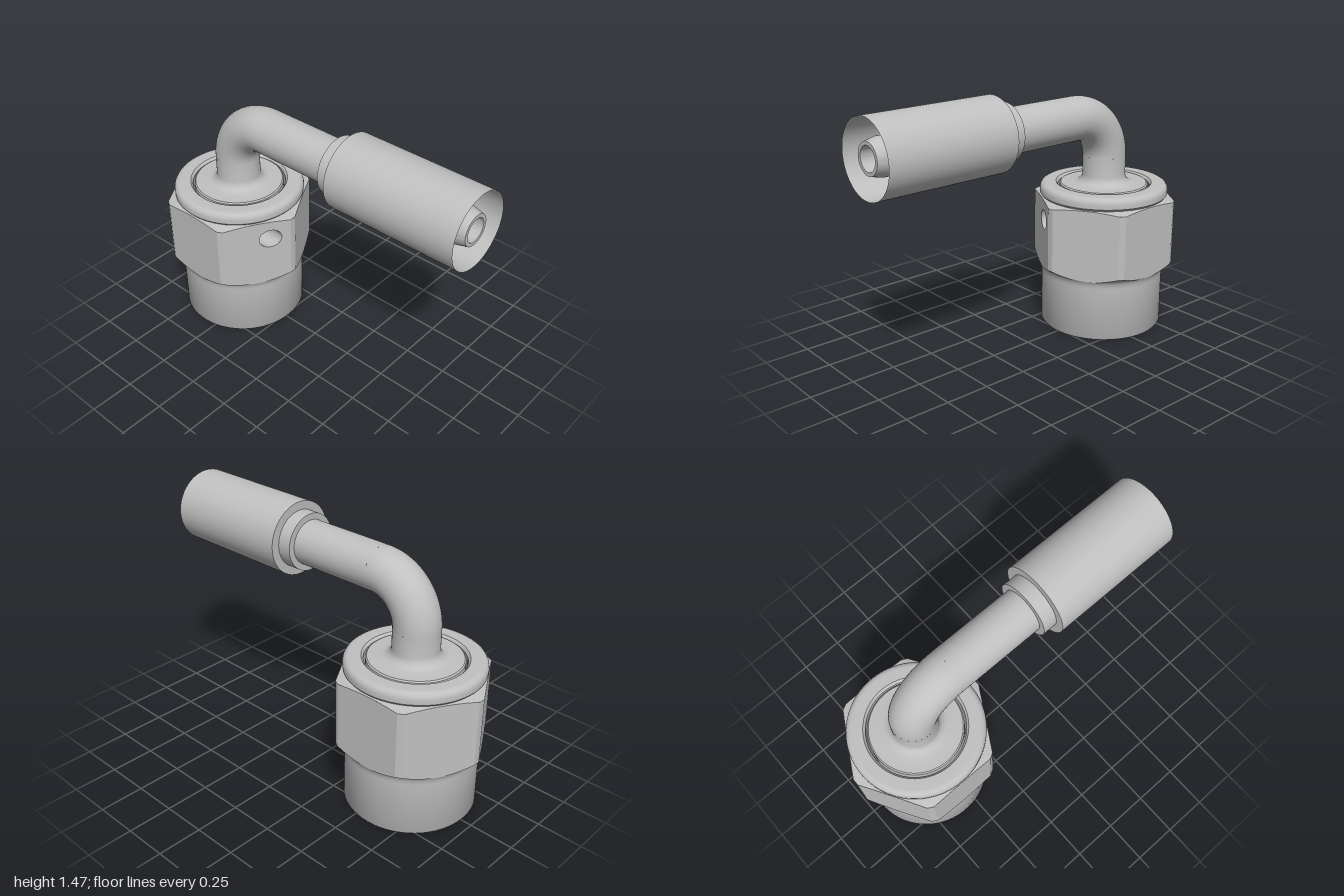
import * as THREE from 'three';
import { toCreasedNormals } from 'three/addons/utils/BufferGeometryUtils.js';

const steel = new THREE.MeshStandardMaterial({ color: 0xc0c0c0, side: THREE.DoubleSide });
steel.name = 'steel';

const AXIS_X = -0.583;            // vertical axis of the nut
const FLAT = 0.37, CORNER = 0.417; // hex apothem and turned corner radius
const TUBE_R = 0.124, BEND_R = 0.245, PIPE_Y = 1.26;
const HOLE = { y: 0.665, z: 0.12, r: 0.057 };
const COS30 = Math.cos(Math.PI / 6);
const HALF = Math.acos(FLAT / CORNER); // half angle covered by one flat

// chamfer heights on the hex as a function of radius
const rise = r => (r - FLAT) / (CORNER - FLAT);
const lowY = r => 0.36 + 0.035 * rise(r);
const highY = r => 0.78 - 0.012 * rise(r);

function add(group, name, geometry) {
  const mesh = new THREE.Mesh(geometry, steel);
  mesh.name = name;
  group.add(mesh);
  return mesh;
}

function lathe(points, segments = 72) {
  const g = new THREE.LatheGeometry(points.map(p => new THREE.Vector2(...p)), segments);
  return toCreasedNormals(g, 0.6);
}

// one flat of the hex, with curved chamfer edges
function flatGeometry(withHole) {
  const U = Math.sqrt(CORNER ** 2 - FLAT ** 2), N = 20, pts = [];
  for (let i = 0; i <= N; i++) {
    const u = -U + 2 * U * i / N;
    pts.push(new THREE.Vector2(u, lowY(Math.hypot(u, FLAT))));
  }
  for (let i = N; i >= 0; i--) {
    const u = -U + 2 * U * i / N;
    pts.push(new THREE.Vector2(u, highY(Math.hypot(u, FLAT))));
  }
  const shape = new THREE.Shape(pts);
  if (withHole) {
    const u = (FLAT / 2 - HOLE.z) / COS30;
    const path = new THREE.Path();
    path.absellipse(u, HOLE.y, HOLE.r / COS30, HOLE.r, 0, Math.PI * 2, true);
    shape.holes.push(path);
  }
  return new THREE.ShapeGeometry(shape, 24).translate(0, 0, FLAT);
}

// chamfer band from a turned circle out to the hex outline
function chamferGeometry(innerR, innerY, edgeY, up) {
  const N = 144, pos = [], idx = [];
  for (let i = 0; i <= N; i++) {
    const a = (i / N) * Math.PI * 2;
    const off = a - Math.round(a / (Math.PI / 3)) * (Math.PI / 3);
    const r = Math.min(CORNER, FLAT / Math.cos(off));
    pos.push(innerR * Math.sin(a), innerY, innerR * Math.cos(a));
    pos.push(r * Math.sin(a), edgeY(r), r * Math.cos(a));
    if (i < N) {
      const k = i * 2;
      if (up) idx.push(k, k + 1, k + 3, k, k + 3, k + 2);
      else idx.push(k, k + 3, k + 1, k, k + 2, k + 3);
    }
  }
  const g = new THREE.BufferGeometry();
  g.setAttribute('position', new THREE.Float32BufferAttribute(pos, 3));
  g.setIndex(idx);
  g.computeVertexNormals();
  return g;
}

// cross hole wall, trimmed to the flat outside and the bore inside
function crossHoleGeometry() {
  const g = new THREE.CylinderGeometry(HOLE.r, HOLE.r, 1, 32, 1, true);
  g.rotateZ(-Math.PI / 2).translate(0, HOLE.y, HOLE.z);
  const p = g.attributes.position;
  for (let i = 0; i < p.count; i++) {
    const z = p.getZ(i);
    p.setX(i, p.getX(i) > 0 ? (FLAT - z / 2) / COS30 : Math.sqrt(0.265 ** 2 - z * z));
  }
  g.index.array.reverse(); // face inward
  const n = g.attributes.normal;
  for (let i = 0; i < n.count; i++) n.setXYZ(i, -n.getX(i), -n.getY(i), -n.getZ(i));
  return g;
}

function createNut() {
  const nut = new THREE.Group();
  nut.name = 'swivelNut';
  // bore, rim and lower skirt
  add(nut, 'nutSkirt', lathe([
    [0.265, 0.84], [0.265, 0.045], [0.31, 0], [0.35, 0], [0.358, 0.012],
    [0.358, 0.315], [0.36, 0.335], [0.364, 0.349], [FLAT, 0.36],
  ]));
  // rounded collar on top
  add(nut, 'nutCollar', lathe([
    [0.36, 0.782], [0.37, 0.794], [0.371, 0.82], [0.368, 0.835], [0.36, 0.847],
    [0.348, 0.854], [0.335, 0.855], [0.277, 0.855], [0.265, 0.84],
  ]));
  add(nut, 'lowerChamfer', chamferGeometry(FLAT, 0.36, lowY, false));
  add(nut, 'upperChamfer', chamferGeometry(0.36, 0.782, highY, true));
  // six flats and the turned strips between them
  const h = highY(CORNER) - lowY(CORNER);
  const strip = Math.PI / 6 - HALF;
  for (let i = 0; i < 6; i++) {
    const a = i * Math.PI / 3;
    add(nut, 'hexFlat', flatGeometry(i === 1)).rotation.y = a;
    const corner = new THREE.CylinderGeometry(
      CORNER, CORNER, h, 4, 1, true, a + HALF, 2 * strip);
    add(nut, 'hexCorner', corner).position.y = lowY(CORNER) + h / 2;
  }
  add(nut, 'crossHole', crossHoleGeometry());
  nut.position.x = AXIS_X;
  return nut;
}

export function createModel() {
  const model = new THREE.Group();
  model.name = 'elbowHoseFitting';
  model.add(createNut());

  // nipple held in the nut, flaring into the vertical tube
  const bendY = PIPE_Y - BEND_R, bendX = AXIS_X + BEND_R;
  add(model, 'nipple', lathe([
    [0.075, 0.95], [0.075, 0.35], [0.2, 0.35], [0.255, 0.42], [0.255, 0.846],
    [0.248, 0.853], [0.172, 0.853], [0.152, 0.859], [0.136, 0.872],
    [0.127, 0.888], [TUBE_R, 0.905], [TUBE_R, bendY],
  ])).position.x = AXIS_X;

  // quarter bend
  const bend = new THREE.TorusGeometry(BEND_R, TUBE_R, 48, 32, Math.PI / 2);
  add(model, 'bend', bend.rotateZ(Math.PI / 2)).position.set(bendX, bendY, 0);

  // horizontal tube, shoulder and thin crimp sleeve
  const ferrule = lathe([
    [TUBE_R, bendX], [TUBE_R, 0.155], [0.159, 0.155], [0.159, 0.235],
    [0.206, 0.235], [0.206, 1.0],
  ]).rotateZ(-Math.PI / 2);
  add(model, 'tubeAndSleeve', ferrule).position.y = PIPE_Y;

  // hose insert inside the sleeve
  const insert = lathe([
    [0.159, 0.236], [0.1, 0.236], [0.1, 0.92], [0.085, 0.985], [0.065, 0.985], [0.065, 0.1],
  ]).rotateZ(-Math.PI / 2);
  add(model, 'hoseInsert', insert).position.y = PIPE_Y;

  return model;
}
